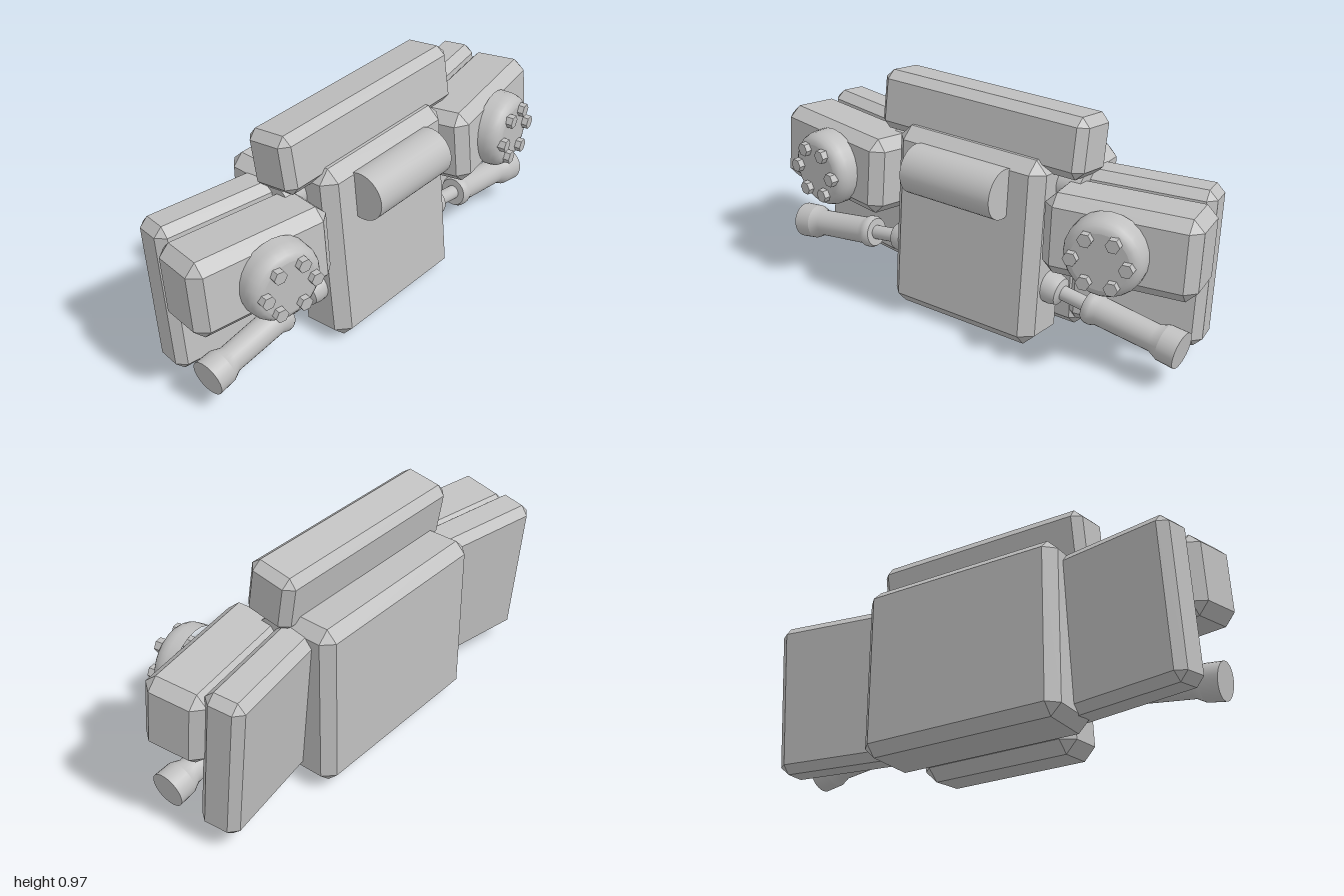
import * as THREE from 'three';
import { ConvexGeometry } from 'three/addons/geometries/ConvexGeometry.js';

const PITCH = THREE.MathUtils.degToRad(-5.5);
const YAW = THREE.MathUtils.degToRad(10);

// Box with every edge chamfered by c
function chamferBox(w, h, d, c) {
  const points = [];
  for (const x of [-w / 2, w / 2]) for (const y of [-h / 2, h / 2]) for (const z of [-d / 2, d / 2]) {
    const ix = x - Math.sign(x) * c, iy = y - Math.sign(y) * c, iz = z - Math.sign(z) * c;
    points.push(new THREE.Vector3(x, iy, iz), new THREE.Vector3(ix, y, iz), new THREE.Vector3(ix, iy, z));
  }
  return new ConvexGeometry(points);
}

export function createModel() {
  const model = new THREE.Group();
  model.name = 'armouredPack';
  const grey = new THREE.MeshStandardMaterial({ color: 0xc0c0c0 });
  grey.name = 'lightGrey';

  const add = (parent, name, geometry, position, pitch = 0, yaw = 0) => {
    const mesh = new THREE.Mesh(geometry, grey);
    mesh.name = name;
    mesh.position.set(...position);
    mesh.rotation.set(pitch, yaw, 0, 'YXZ');
    parent.add(mesh);
    return mesh;
  };

  // Central blocks
  add(model, 'backBlock', chamferBox(0.89, 0.725, 0.295, 0.045), [0, 0.402, -0.157]);
  add(model, 'frontPlate', chamferBox(0.7, 0.78, 0.245, 0.05), [0, 0.4, 0.062], PITCH);
  add(model, 'topBar', chamferBox(0.965, 0.245, 0.215, 0.035), [0, 0.845, -0.035], -0.165);

  // Horizontal cylinder on the plate and the cross tube under the top bar
  const roll = new THREE.CylinderGeometry(0.102, 0.102, 0.425, 32).rotateZ(Math.PI / 2);
  add(model, 'frontCylinder', roll, [0, 0.663, 0.188]);
  const tube = new THREE.CylinderGeometry(0.07, 0.07, 0.9, 24).rotateZ(Math.PI / 2);
  add(model, 'crossTube', tube, [0, 0.665, -0.035]);

  // Shared side geometries
  const podGeometry = chamferBox(0.615, 0.325, 0.265, 0.045);
  const wingGeometry = chamferBox(0.56, 0.645, 0.17, 0.035);

  // Round cover with a softened rim, facing +z
  const rim = [[0.16, 0], [0.16, 0.045]];
  for (let i = 1; i <= 5; i++) {
    const a = (i / 5) * Math.PI / 2;
    rim.push([0.115 + 0.045 * Math.cos(a), 0.045 + 0.06 * Math.sin(a)]);
  }
  const coverGeometry = new THREE.LatheGeometry(rim.map(p => new THREE.Vector2(...p)), 24).rotateX(Math.PI / 2);
  const faceGeometry = new THREE.CircleGeometry(0.116, 24);
  const boltGeometry = new THREE.CylinderGeometry(0.029, 0.029, 0.05, 6).toNonIndexed();
  boltGeometry.rotateY(Math.PI / 6).rotateX(Math.PI / 2);
  boltGeometry.computeVertexNormals();

  // Handle profile as [radius, distance from the plate]; doubled points keep edges sharp
  const handleProfile = [
    [0, 0], [0.064, 0], [0.064, 0], [0.064, 0.045], [0.056, 0.075], [0.056, 0.075],
    [0.03, 0.085], [0.03, 0.085], [0.03, 0.2], [0.03, 0.2],
    [0.06, 0.2], [0.06, 0.2], [0.068, 0.215], [0.068, 0.235], [0.058, 0.26], [0.056, 0.5],
    [0.073, 0.54], [0.073, 0.54], [0.075, 0.615], [0.075, 0.615], [0, 0.615],
  ];
  const handleGeometry = new THREE.LatheGeometry(handleProfile.map(p => new THREE.Vector2(...p)), 28);

  for (const side of [1, -1]) {
    const group = new THREE.Group();
    group.name = side > 0 ? 'leftSide' : 'rightSide';
    model.add(group);

    // Swept-back pod and the tall wing behind it
    add(group, 'pod', podGeometry, [side * 0.677, 0.55, 0.038], PITCH, side * YAW);
    add(group, 'wing', wingGeometry, [side * 0.65, 0.405, -0.145], PITCH, side * YAW);

    // Round cover with six hexagonal bolts
    const cover = new THREE.Group();
    cover.name = 'roundCover';
    cover.position.set(side * 0.665, 0.55, 0.158);
    cover.rotation.y = side * YAW;
    group.add(cover);
    add(cover, 'coverRim', coverGeometry, [0, 0, 0]);
    add(cover, 'coverFace', faceGeometry, [0, 0, 0.105]);
    for (let i = 0; i < 6; i++) {
      const a = i * Math.PI / 3;
      add(cover, 'bolt', boltGeometry, [0.108 * Math.cos(a), 0.088 * Math.sin(a) / Math.sin(Math.PI / 3), 0.105]);
    }

    // Handle reaching outward and slightly down
    const handle = add(group, 'handle', handleGeometry, [side * 0.335, 0.257, 0.07]);
    handle.rotation.set(0, 0, -side * (Math.PI / 2 + 0.14));
  }
  return model;
}
